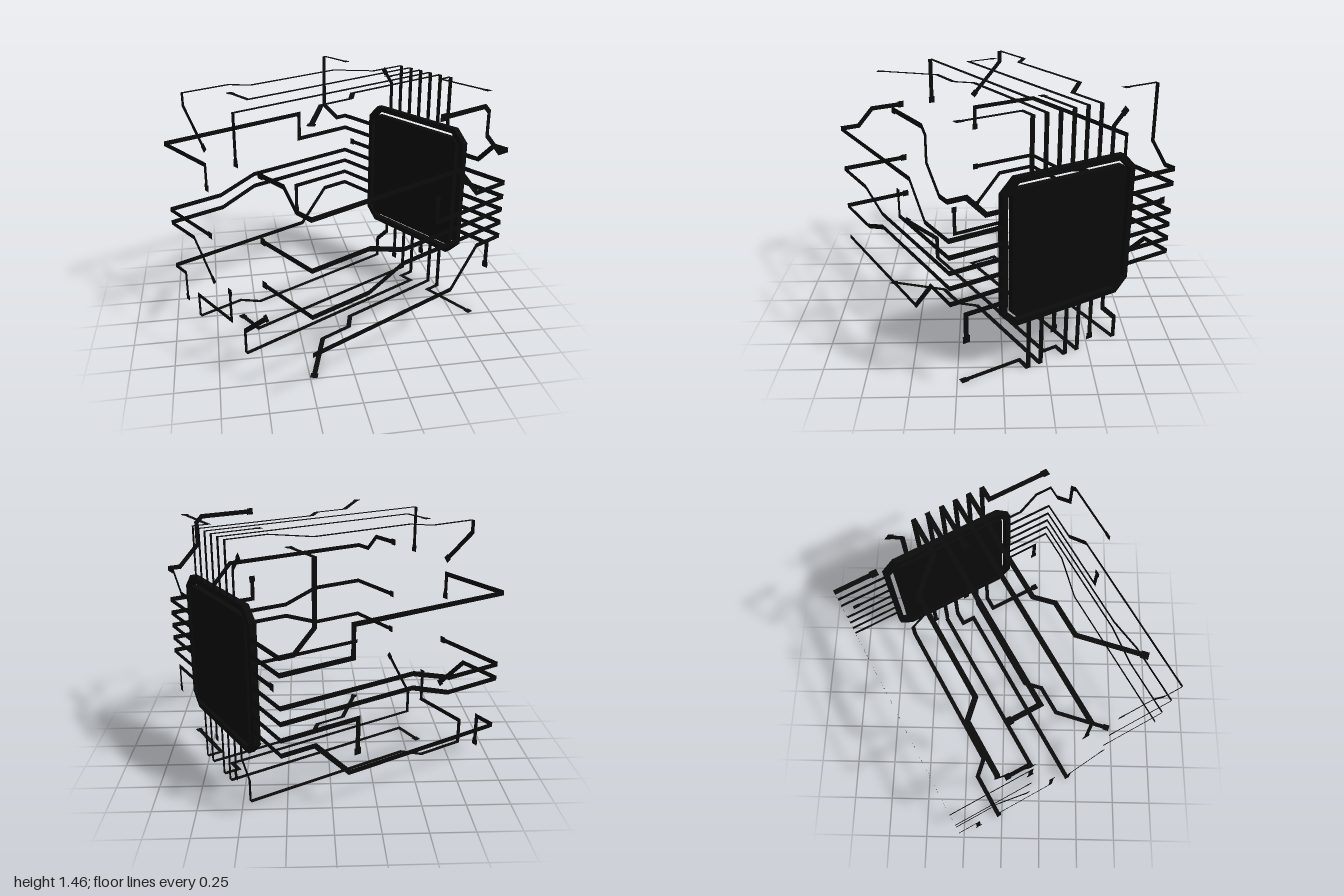
import * as THREE from 'three';

const H = 0.732;        // half the side of the cube the circuit wraps round
const WIDTH = 0.029;    // trace width
const PAD = 0.042;      // solder pad size
const IN = 0.41;        // where traces leave the chip
const END = true;       // marks a trace that finishes in a pad

const flat = new THREE.MeshStandardMaterial({ color: 0x0a0a0a, side: THREE.DoubleSide });
const solid = new THREE.MeshStandardMaterial({ color: 0x0a0a0a });

// Flat ribbon with mitred corners along a 2D path
function ribbon(pts) {
  const left = [], right = [];
  pts.forEach((p, i) => {
    const a = pts[Math.max(i - 1, 0)], b = pts[Math.min(i + 1, pts.length - 1)];
    const d1 = p.clone().sub(a).normalize(), d2 = b.clone().sub(p).normalize();
    if (i === 0) d1.copy(d2);
    if (i === pts.length - 1) d2.copy(d1);
    const t = d1.clone().add(d2).normalize();
    const n = new THREE.Vector2(-t.y, t.x);
    n.multiplyScalar(WIDTH / 2 / t.dot(d1));
    left.push(p.clone().add(n));
    right.unshift(p.clone().sub(n));
  });
  return new THREE.ShapeGeometry(new THREE.Shape([...left, ...right]));
}

// All traces of one cube face; su and sv flip the path coordinates into the face
function circuitFace(name, traces, su = 1, sv = 1) {
  const face = new THREE.Group();
  face.name = name;
  for (const trace of traces) {
    const pts = trace.filter(Array.isArray).map(([u, v]) => new THREE.Vector2(u * su, v * sv));
    const line = new THREE.Mesh(ribbon(pts), flat);
    line.name = 'trace';
    face.add(line);
    if (trace.at(-1) === END) {
      const [before, last] = pts.slice(-2);
      const pad = new THREE.Mesh(new THREE.PlaneGeometry(PAD, PAD), flat);
      pad.name = 'pad';
      pad.position.set(last.x, last.y, 0);
      pad.rotation.z = Math.atan2(last.y - before.y, last.x - before.x);
      face.add(pad);
    }
  }
  return face;
}

// Square with cut corners
function octagon(r, c, Type = THREE.Shape) {
  const k = r - c;
  return new Type([[r, -k], [r, k], [k, r], [-k, r], [-r, k], [-r, -k], [-k, -r], [k, -r]]
    .map(([x, y]) => new THREE.Vector2(x, y)));
}

function slab(name, shape, depth) {
  const mesh = new THREE.Mesh(new THREE.ExtrudeGeometry(shape, { depth, bevelEnabled: false }), solid);
  mesh.name = name;
  mesh.position.z = -depth;
  return mesh;
}

// Chip face: horizontal position, height
const TOP = 2 * H;
const chipTraces = [
  // towards the front side
  [[IN, 1], [0.52, 1], [0.63, 1.115], [H, 1.115]],
  ...[0.91, 0.82, 0.735, 0.65, 0.56].map(y => [[IN, y], [H, y]]),
  [[IN, 0.475], [0.645, 0.475], [0.645, 0.325], END],
  // towards the rear side
  ...[1, 0.91, 0.735, 0.65, 0.56, 0.475].map(y => [[-IN, y], [-H, y]]),
  [[-IN, 0.82], [-0.651, 0.82], END],
  // upwards
  ...[0.258, 0.174, 0.09, 0.005, -0.08, -0.168].map(u => [[u, H + IN], [u, TOP]]),
  [[-0.255, H + IN], [-0.255, 1.33], [-0.325, 1.40], END],
  // downwards
  ...[0.258, 0.174, 0.005, -0.08].map(u => [[u, H - IN], [u, 0]]),
  [[0.09, H - IN], [0.09, 0.205], END],
  [[-0.168, H - IN], [-0.168, 0.07], END],
  [[-0.255, H - IN], [-0.255, 0.23], [-0.349, 0.135], [-0.349, 0]],
];

const frontTraces = [
  [[H, 1.115], [0.652, 1.115], [0.522, 1.246], [0.522, 1.385], [0.485, 1.42], [0.145, 1.42], END],
  [[H, 0.91], [0.476, 0.91], [0.306, 1.09], [-H, 1.09]],
  [[H, 0.82], [0.148, 0.82], [0.148, 0.96], END],
  [[H, 0.735], [-0.11, 0.735], [-0.355, 0.82], [-H, 0.82]],
  [[H, 0.65], [-0.11, 0.65], [-0.355, 0.56], [-H, 0.56]],
  [[H, 0.56], [0.516, 0.56], [0.306, 0.335], [-H, 0.335]],
];

const rearTraces = [
  [[H, 1], [0.651, 1], [0.533, 1.115], [0.533, TOP]],
  [[H, 0.91], [0.304, 0.91], [0.304, 1.09], [-H, 1.09]],
  [[H, 0.735], [-0.09, 0.735], [-0.36, 0.65], [-H, 0.65]],
  [[H, 0.65], [-0.09, 0.65], [-0.35, 0.56], [-H, 0.56]],
  [[H, 0.56], [0.268, 0.56], [0.268, 0.365], END],
  [[H, 0.475], [0.533, 0.475], [0.318, 0.25], [-H, 0.25]],
];

const farTraces = [
  [[-0.443, TOP], [-0.443, 1.39], [-0.24, 1.19], END],
  [[0.09, TOP], [0.09, 1.19], END],
  [[H, 1.09], [0.614, 1.09], [0.516, 1.19], [0.316, 1.19], END],
  [[H, 0.82], [0.316, 0.82], END],
  [[H, 0.56], [0.316, 0.56], END],
  [[-H, 1.09], [-0.24, 1.09], [-0.24, 0.95], END],
  [[-H, 0.65], [-0.24, 0.65], END],
  [[-H, 0.56], [-0.443, 0.56], [-0.24, 0.35], END],
  [[-H, 0.25], [-0.596, 0.25], [-0.596, 0.07], END],
  [[-0.443, 0], [-0.443, 0.155], [-0.056, 0.155], [-0.056, 0.35], END],
  [[0.09, 0], [0.09, 0.155], [0.316, 0.35], END],
];

// Traces found on both the top and bottom faces
const capTraces = [
  [[H, 0.258], [0.64, 0.258], [0.64, 0.615], END],
  [[H, 0.174], [0.005, 0.174], [-0.082, 0.26], [-0.29, 0.26], [-0.556, 0.513], END],
  [[H, -0.085], [-0.525, -0.085], [-0.525, -0.265], END],
];
const topTraces = [
  ...capTraces,
  [[H, 0.09], [-H, 0.09]],
  [[H, 0.005], [0.45, 0.005], END],
  [[H, -0.168], [0.482, -0.168], [0.302, -0.35], [-0.335, -0.35], [-0.425, -0.443], [-H, -0.443]],
  [[0.533, -H], [0.533, -0.5], END],
];
const bottomTraces = [
  ...capTraces,
  [[H, 0.005], [0.64, 0.005], [0.64, 0.09], [-H, 0.09]],
  [[H, -0.349], [-0.335, -0.349], [-0.425, -0.443], [-H, -0.443]],
];

export function createModel() {
  const model = new THREE.Group();
  model.name = 'circuitCube';
  model.rotation.y = Math.PI / 6;

  const place = (part, x, y, z, rx, ry) => {
    part.position.set(x, y, z);
    part.rotation.set(rx, ry, 0);
    model.add(part);
  };
  const Q = Math.PI / 2;
  place(circuitFace('chipSideTraces', chipTraces, -1), H, 0, 0, 0, Q);
  place(circuitFace('frontTraces', frontTraces), 0, 0, H, 0, 0);
  place(circuitFace('rearTraces', rearTraces, -1), 0, 0, -H, 0, 2 * Q);
  place(circuitFace('farSideTraces', farTraces), -H, 0, 0, 0, -Q);
  place(circuitFace('topTraces', topTraces, 1, -1), 0, TOP, 0, -Q, 0);
  place(circuitFace('bottomTraces', bottomTraces), 0, 0, 0, Q, 0);

  // Chip: a core plate inside a cut-corner frame
  const chip = new THREE.Group();
  chip.name = 'chip';
  const frame = octagon(0.427, 0.08);
  frame.holes.push(octagon(0.395, 0.066, THREE.Path));
  chip.add(slab('chipFrame', frame, 0.04), slab('chipCore', octagon(0.366, 0.025), 0.04));
  place(chip, H + 0.001, H, 0, 0, Q);

  const root = new THREE.Group();
  root.name = 'model';
  root.add(model);
  return root;
}
